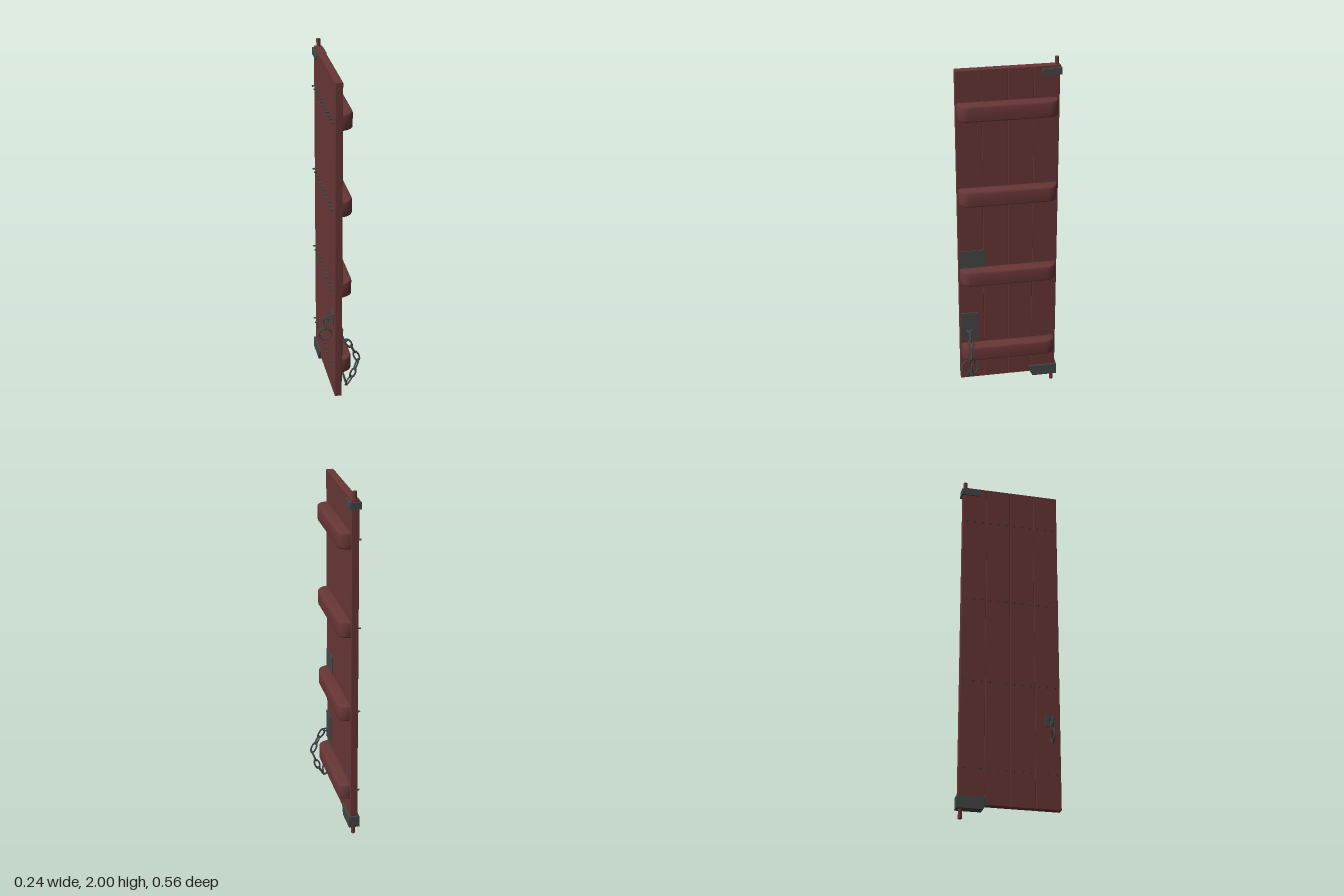
import * as THREE from 'three';
import { toCreasedNormals } from 'three/addons/utils/BufferGeometryUtils.js';
import { RoundedBoxGeometry } from 'three/addons/geometries/RoundedBoxGeometry.js';

export function createModel() {
  const door = new THREE.Group();
  door.name = 'plankDoor';
  const wood = new THREE.MeshStandardMaterial({ color: 0x683636 });
  wood.name = 'red brown wood';
  const iron = new THREE.MeshStandardMaterial({ color: 0x444747 });
  iron.name = 'dark iron';

  function add(name, geometry, material, x = 0, y = 0, z = 0, parent = door) {
    const mesh = new THREE.Mesh(geometry, material);
    mesh.name = name;
    mesh.position.set(x, y, z);
    parent.add(mesh);
    return mesh;
  }

  // Four upright planks, side by side along z
  const seams = [-0.27, -0.133, 0.003, 0.141, 0.279];
  for (let i = 0; i < 4; i++) {
    const width = seams[i + 1] - seams[i];
    add('plank', new RoundedBoxGeometry(0.04, 1.885, width, 1, 0.003), wood,
      -0.02, 1.0175, (seams[i] + seams[i + 1]) / 2);
  }

  // Cross battens with rounded outer ends, and a row of nail tips behind each
  const bevel = 0.01;
  const outline = new THREE.Shape();
  outline.moveTo(-0.012, -0.252);
  outline.lineTo(0.002, -0.252);
  outline.quadraticCurveTo(0.052, -0.25, 0.052, -0.205);
  outline.lineTo(0.052, 0.215);
  outline.quadraticCurveTo(0.05, 0.257, 0.002, 0.264);
  outline.lineTo(-0.012, 0.264);
  const batten = toCreasedNormals(new THREE.ExtrudeGeometry(outline, {
    depth: 0.07, bevelEnabled: true, bevelSize: bevel, bevelThickness: bevel,
    bevelSegments: 3, curveSegments: 8,
  }).translate(0, 0, -0.035).rotateX(Math.PI / 2), 0.6);
  const nail = new THREE.CylinderGeometry(0.0045, 0.0045, 0.022, 8).rotateZ(Math.PI / 2);
  for (const y of [0.27, 0.76, 1.25, 1.74]) {
    add('batten', batten, wood, 0, y, 0);
    for (let i = 0; i < 12; i++) add('nail', nail, iron, -0.046, y, -0.246 + i * 0.0455);
  }

  // Pivot pins
  const pin = new THREE.CylinderGeometry(0.011, 0.011, 0.1, 16);
  add('topPivot', pin, wood, -0.019, 1.95, -0.255);
  add('bottomPivot', pin, wood, -0.019, 0.05, -0.255);

  // U-shaped hinge straps wrapped round the rear edge
  function strap(name, points, low, high) {
    const group = new THREE.Group();
    group.name = name;
    door.add(group);
    const shape = new THREE.Shape(points.map(([z, y]) => new THREE.Vector2(z, y)));
    const side = new THREE.ExtrudeGeometry(shape, { depth: 0.01, bevelEnabled: false })
      .rotateY(-Math.PI / 2);
    add('strapSide', side, iron, 0.01, 0, 0, group);
    add('strapSide', side, iron, -0.039, 0, 0, group);
    add('strapBack', new THREE.BoxGeometry(0.059, high - low, 0.01), iron,
      -0.0195, (low + high) / 2, -0.274, group);
    return group;
  }
  strap('topHinge', [[-0.279, 1.91], [-0.185, 1.91], [-0.173, 1.92], [-0.173, 1.937],
    [-0.185, 1.947], [-0.279, 1.947]], 1.91, 1.947);
  const bottom = strap('bottomHinge', [[-0.279, 0.05], [-0.14, 0.05], [-0.125, 0.08],
    [-0.118, 0.116], [-0.279, 0.116]], 0.05, 0.116);
  add('strapFloor', new THREE.BoxGeometry(0.059, 0.024, 0.139), iron,
    -0.0195, 0.062, -0.2095, bottom);

  // Iron plates
  add('latchPlate', new THREE.BoxGeometry(0.006, 0.107, 0.137), iron, 0.001, 0.858, 0.204);
  add('chainPlate', new THREE.BoxGeometry(0.008, 0.174, 0.095), iron, 0.002, 0.427, 0.2245);
  for (const y of [0.35, 0.505]) {
    for (const z of [0.183, 0.266]) {
      add('plateRivet', new THREE.SphereGeometry(0.004, 8, 6), iron, 0.006, y, z);
    }
  }
  add('ringPlate', new THREE.BoxGeometry(0.007, 0.065, 0.06), iron, -0.043, 0.568, 0.225);

  // Oval chain links strung along points in the xy plane
  function chain(name, points, z, halfWidth, radius) {
    const group = new THREE.Group();
    group.name = name;
    door.add(group);
    for (let i = 0; i < points.length - 1; i++) {
      const a = new THREE.Vector3(...points[i], z);
      const b = new THREE.Vector3(...points[i + 1], z);
      const half = a.distanceTo(b) / 2 + radius;
      const loop = [];
      for (let k = 0; k < 12; k++) {
        const t = k / 12 * Math.PI * 2;
        loop.push(new THREE.Vector3(halfWidth * Math.cos(t), half * Math.sin(t), 0));
      }
      const path = new THREE.CatmullRomCurve3(loop, true);
      const link = add('chainLink', new THREE.TubeGeometry(path, 24, radius, 6, true), iron,
        0, 0, 0, group);
      link.position.copy(a).lerp(b, 0.5);
      link.quaternion.setFromUnitVectors(new THREE.Vector3(0, 1, 0), b.sub(a).normalize());
      link.rotateY(i % 2 ? 0 : Math.PI / 2);
    }
  }
  chain('longChain', [[0.004, 0.405], [0.035, 0.41], [0.062, 0.365], [0.083, 0.325],
    [0.104, 0.27], [0.083, 0.21], [0.066, 0.16], [0.035, 0.113]], 0.228, 0.014, 0.005);
  chain('shortChain', [[-0.043, 0.57], [-0.08, 0.57], [-0.082, 0.535], [-0.085, 0.5]],
    0.225, 0.012, 0.0045);

  // Rings at the chain ends
  const longRing = add('chainRing', new THREE.TorusGeometry(0.046, 0.005, 8, 28), iron,
    0.024, 0.162, 0.228);
  longRing.rotation.set(0, Math.PI / 2, 0.25, 'ZYX');
  add('pullRing', new THREE.TorusGeometry(0.034, 0.005, 8, 28), iron, -0.085, 0.466, 0.225);

  return door;
}
